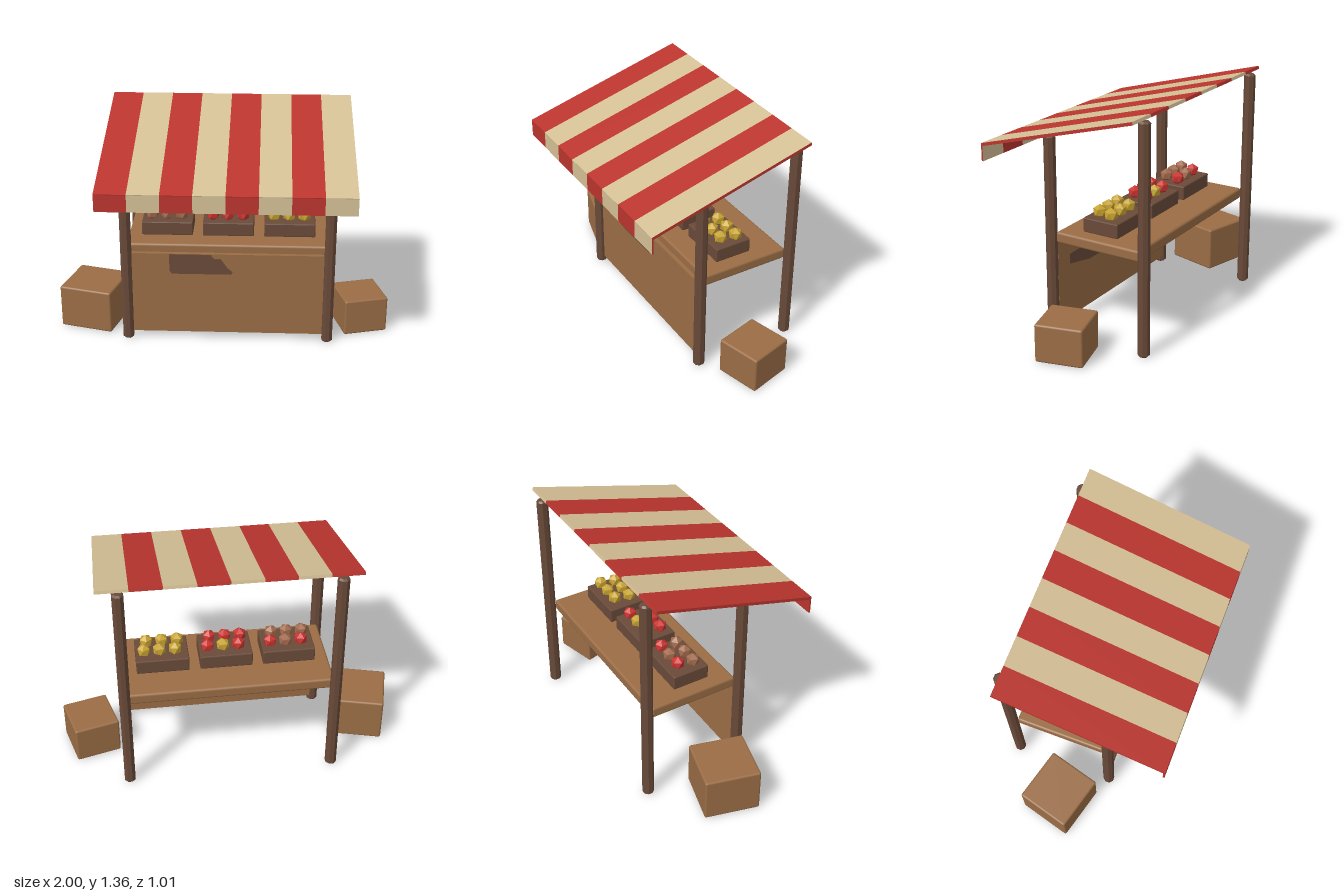
import * as THREE from 'three';
import { RoundedBoxGeometry } from 'three/addons/geometries/RoundedBoxGeometry.js';

const mat = (name, color, extra = {}) => {
  const m = new THREE.MeshStandardMaterial({ color, ...extra });
  m.name = name;
  return m;
};

export function createModel() {
  const wood = mat('wood', 0x9a6d45);
  const darkWood = mat('darkWood', 0x694a39, { flatShading: true });
  const red = mat('awningRed', 0xbb352e);
  const cream = mat('awningCream', 0xd5c096);
  const grey = mat('awningUnderside', 0x8f8383);
  const apple = mat('redFruit', 0xcb3430, { flatShading: true });
  const lemon = mat('yellowFruit', 0xc6a230, { flatShading: true });
  const peach = mat('brownFruit', 0xa0694b, { flatShading: true });

  const model = new THREE.Group();
  model.name = 'marketStall';

  const add = (name, geometry, material, x, y, z, parent = model) => {
    const mesh = new THREE.Mesh(geometry, material);
    mesh.name = name;
    mesh.position.set(x, y, z);
    parent.add(mesh);
    return mesh;
  };

  // Octagonal posts with bevelled ends: taller pair at the back
  const post = (name, x, z, h) => {
    const r = 0.034, b = 0.01;
    const profile = [[0, 0], [r - b, 0], [r, b], [r, h - b], [r - b, h], [0, h]]
      .map(([px, py]) => new THREE.Vector2(px, py));
    const geo = new THREE.LatheGeometry(profile, 8).rotateY(Math.PI / 8);
    add(name, geo, darkWood, x, 0, z);
  };
  for (const [side, x] of [['Right', -0.57], ['Left', 0.63]]) {
    post('front' + side + 'Post', x, 0.129, 1.168);
    post('back' + side + 'Post', x, -0.473, 1.335);
  }

  // Counter top and front panel
  add('counter', new RoundedBoxGeometry(1.2, 0.066, 0.54, 2, 0.014), wood, 0.03, 0.577, -0.17);
  add('frontPanel', new THREE.BoxGeometry(1.16, 0.52, 0.024), wood, 0.03, 0.3, 0.114);

  // Dark stains on both faces of the panel
  const stain = (name, pts, z) => {
    const shape = new THREE.Shape(pts.map(([x, y]) => new THREE.Vector2(x, y)));
    const geo = new THREE.ExtrudeGeometry(shape, { depth: 0.002, bevelEnabled: false });
    add(name, geo, darkWood, 0, 0, z);
  };
  stain('frontStain', [[-0.315, 0.557], [-0.315, 0.45], [-0.3, 0.43], [0.05, 0.43], [0.06, 0.445],
    [0.025, 0.477], [-0.01, 0.53], [-0.05, 0.53], [-0.07, 0.557]], 0.126);
  stain('backStain', [[0.5, 0.43], [0.5, 0.37], [0.3, 0.33], [-0.18, 0.33], [-0.14, 0.45]], 0.1);

  // Turned crates beside the stall
  add('largeCrate', new RoundedBoxGeometry(0.33, 0.267, 0.325, 2, 0.012), wood, -0.8, 0.1335, -0.107)
    .rotation.y = -0.262;
  add('smallCrate', new RoundedBoxGeometry(0.27, 0.225, 0.275, 2, 0.012), wood, 0.835, 0.1125, -0.107)
    .rotation.y = 0.262;

  // Trays with two rows of three fruits each (front row first)
  const fruitGeo = new THREE.IcosahedronGeometry(0.041).rotateX(-1.017);
  const trays = [
    ['right', -0.337, [peach, peach, peach, apple, peach, apple]],
    ['middle', 0.028, [apple, apple, apple, apple, lemon, apple]],
    ['left', 0.395, [lemon, lemon, lemon, lemon, lemon, lemon]],
  ];
  for (const [name, x, fruits] of trays) {
    const tray = new THREE.Group();
    tray.name = name + 'Tray';
    tray.position.set(x, 0, -0.14);
    model.add(tray);
    add('trayBox', new RoundedBoxGeometry(0.305, 0.085, 0.224, 1, 0.006), darkWood, 0, 0.652, 0, tray);
    fruits.forEach((m, i) => {
      const row = Math.floor(i / 3);
      const fruit = add('fruit', fruitGeo, m, (i % 3 - 1) * 0.09 + (row ? 0.014 : -0.004), 0.725,
        row ? -0.042 : 0.046, tray);
      fruit.rotation.y = i * 0.35;
    });
  }

  // Striped sloping awning with a hanging valance
  const awning = new THREE.Group();
  awning.name = 'awning';
  model.add(awning);
  const count = 8, left = -0.685, w = 1.435 / count;
  for (let i = 0; i < count; i++) {
    const x = left + w * (i + 0.5);
    const c = i % 2 ? cream : red;
    const under = i % 2 ? grey : red;
    // Side faces stay red so the outer edges read as a red trim
    add('awningStripe', new THREE.BoxGeometry(w, 0.018, 1.016), [red, red, c, under, c, c],
      x, 1.215, 0.015, awning).rotation.x = 0.2688;
    add('valanceStripe', new THREE.BoxGeometry(w, 0.1, 0.01), [red, red, c, c, c, c],
      x, 1.035, 0.501, awning);
  }
  return model;
}
